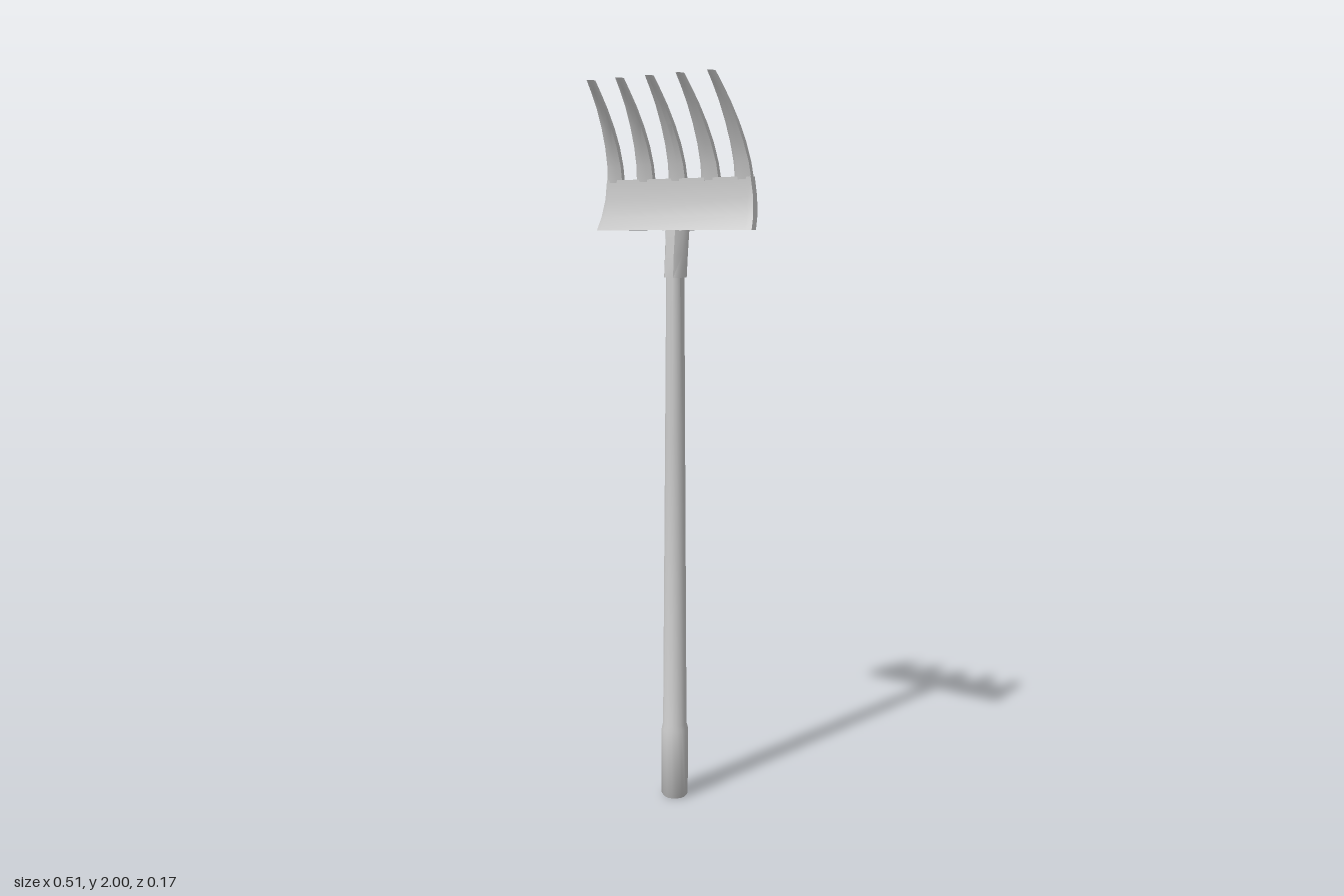
import * as THREE from 'three';
import { toCreasedNormals } from 'three/addons/utils/BufferGeometryUtils.js';

const material = new THREE.MeshStandardMaterial({ color: 0xcccccc });

// Loft through horizontal chamfered rectangles: [y, xMin, xMax, zBack, zFront]
function loft(name, sections, chamfer = 0.3) {
  const pos = [], idx = [], n = 8, rows = sections.length;
  for (const [y, x0, x1, z0, z1] of sections) {
    const cz = (z1 - z0) * chamfer, cx = Math.min((x1 - x0) * chamfer, 0.015);
    const ring = [
      [x1, z0 + cz], [x1, z1 - cz], [x1 - cx, z1], [x0 + cx, z1],
      [x0, z1 - cz], [x0, z0 + cz], [x0 + cx, z0], [x1 - cx, z0],
    ];
    for (const [x, z] of ring) pos.push(x, y, z);
  }
  for (let r = 0; r < rows - 1; r++) {
    for (let i = 0; i < n; i++) {
      const a = r * n + i, b = r * n + (i + 1) % n;
      idx.push(a, a + n, b, b, a + n, b + n);
    }
  }
  const top = (rows - 1) * n;
  for (let i = 1; i < n - 1; i++) {
    idx.push(0, i, i + 1, top, top + i + 1, top + i);
  }
  const geo = new THREE.BufferGeometry();
  geo.setAttribute('position', new THREE.Float32BufferAttribute(pos, 3));
  geo.setIndex(idx);
  const mesh = new THREE.Mesh(toCreasedNormals(geo, 0.9), material);
  mesh.name = name;
  return mesh;
}

// Curved side profile shared by the plate and tines: [y, zBack, zFront]
const plateCurve = [
  [1.605, -0.05, -0.02], [1.64, -0.064, -0.035], [1.69, -0.073, -0.045], [1.742, -0.072, -0.043],
];
const tineCurve = [
  [1.735, -0.072, -0.043], [1.78, -0.065, -0.036], [1.83, -0.051, -0.018],
  [1.88, -0.028, 0.006], [1.93, 0.003, 0.035], [1.97, 0.033, 0.064], [2.0, 0.058, 0.087],
];

export function createModel() {
  const group = new THREE.Group();

  // Tapered wooden handle with a thicker grip at the foot
  const profile = [
    [0, 0], [0.033, 0], [0.038, 0.008], [0.038, 0.2], [0.034, 0.215],
    [0.028, 1.05], [0.025, 1.5], [0, 1.5],
  ].map(([r, y]) => new THREE.Vector2(r, y));
  const handle = new THREE.Mesh(
    toCreasedNormals(new THREE.LatheGeometry(profile, 16), 0.7), material);
  handle.name = 'handle';
  handle.position.z = -0.044;
  group.add(handle);

  // Socket gripping the handle, and the gusset flaring into the plate
  group.add(loft('socket', [
    [1.478, -0.029, 0.029, -0.075, -0.014],
    [1.54, -0.029, 0.029, -0.081, -0.017],
    [1.608, -0.03, 0.03, -0.087, -0.022],
  ]));
  group.add(loft('gusset', [
    [1.604, -0.045, 0.045, -0.087, -0.03],
    [1.63, -0.06, 0.06, -0.083, -0.045],
    [1.69, -0.08, 0.08, -0.072, -0.055],
  ]));

  // Curved plate, narrowing upwards
  group.add(loft('plate', plateCurve.map(([y, back, front]) => {
    const half = 0.256 - (y - 1.605) * 0.14;
    return [y, -half, half, back, front];
  }), 0.15));

  // Five tines; the outer ones lean inwards: [base left, base right, tip left, tip right]
  const tines = [[-0.027, 0.027, -0.009, 0.009]];
  for (const [a, b, c, d] of [[0.08, 0.135, 0.089, 0.106], [0.186, 0.237, 0.186, 0.202]]) {
    tines.push([a, b, c, d], [-b, -a, -d, -c]);
  }
  for (const [a, b, c, d] of tines) {
    group.add(loft('tine', tineCurve.map(([y, back, front]) => {
      const t = Math.pow((y - 1.735) / 0.265, 1.15);
      return [y, a + (c - a) * t, b + (d - b) * t, back, front];
    }), 0.28));
  }
  return group;
}
